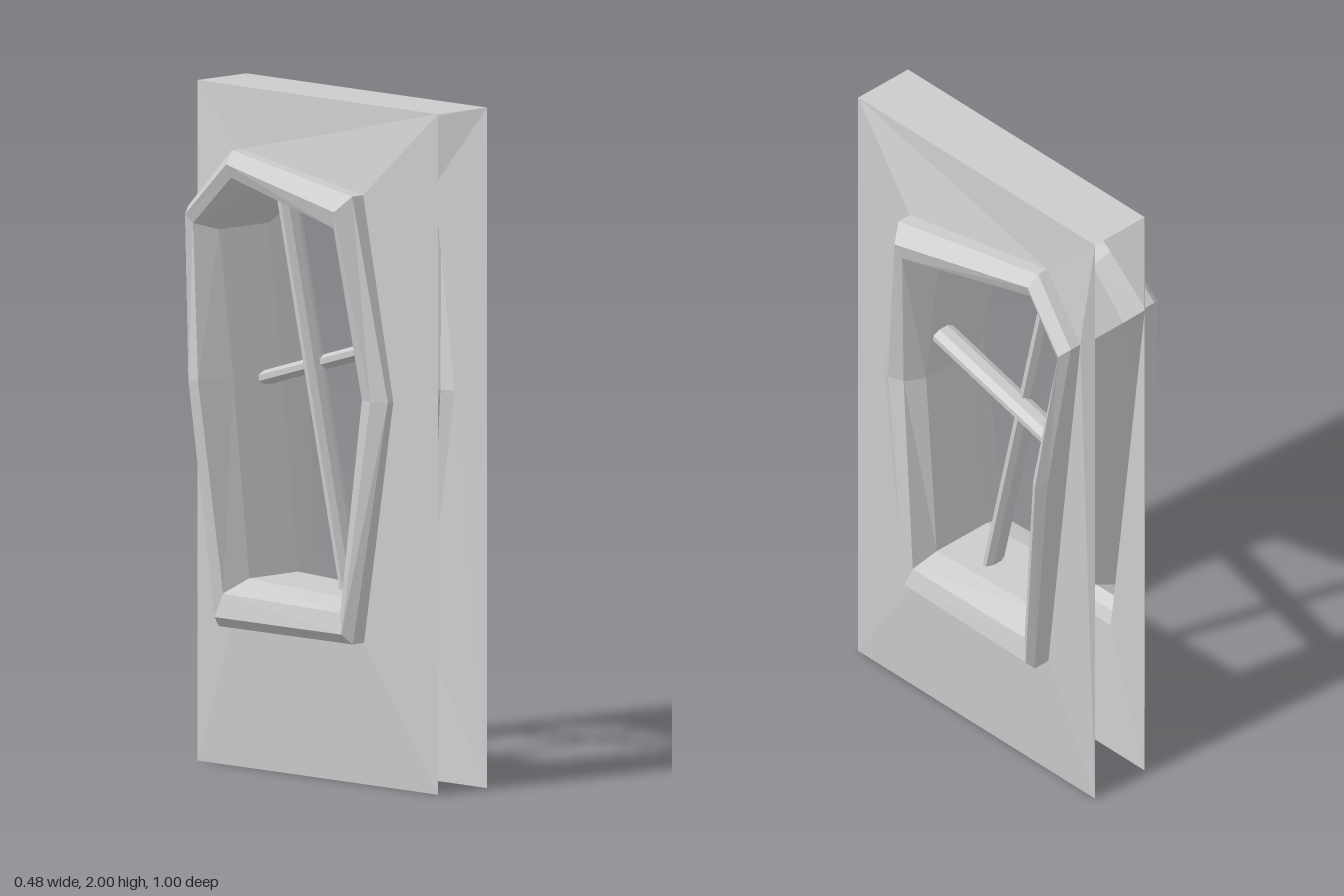
import * as THREE from 'three';

const material = new THREE.MeshStandardMaterial({ color: 0xcccccc, flatShading: true, side: THREE.DoubleSide });

// Crooked window outline, one row per corner, as z,y pairs and depths in x:
// outer [z, y], ridge [z, y], inner lip [z, y], opening [z, y], depths [wall, outer, ridge]
const corners = [
  { outer: [0.235, 1.74], ridge: [0.205, 1.695], lip: [0.188, 1.645], opening: [0.157, 1.61], depth: [0.145, 0.19, 0.235] },
  { outer: [-0.31, 1.817], ridge: [-0.3, 1.78], lip: [-0.295, 1.74], opening: [-0.28, 1.708], depth: [0.11, 0.147, 0.18] },
  { outer: [-0.47, 1.64], ridge: [-0.45, 1.62], lip: [-0.432, 1.595], opening: [-0.41, 1.57], depth: [0.13, 0.168, 0.2] },
  { outer: [-0.41, 1.14], ridge: [-0.395, 1.14], lip: [-0.37, 1.14], opening: [-0.352, 1.14], depth: [0.155, 0.205, 0.24] },
  { outer: [-0.33, 0.42], ridge: [-0.32, 0.45], lip: [-0.3, 0.52], opening: [-0.285, 0.557], depth: [0.125, 0.18, 0.207] },
  { outer: [0.218, 0.42], ridge: [0.2, 0.45], lip: [0.18, 0.51], opening: [0.168, 0.538], depth: [0.125, 0.17, 0.2] },
  { outer: [0.34, 1.14], ridge: [0.295, 1.14], lip: [0.245, 1.14], opening: [0.213, 1.14], depth: [0.125, 0.147, 0.175] },
];

function indexed(points, index) {
  const geometry = new THREE.BufferGeometry();
  geometry.setAttribute('position', new THREE.Float32BufferAttribute(points.flat(), 3));
  geometry.setIndex(index);
  geometry.computeVertexNormals();
  return geometry;
}

// Skin over a series of closed rings with equal point counts
function loft(rings) {
  const n = rings[0].length, index = [];
  for (let r = 0; r < rings.length - 1; r++) {
    for (let i = 0; i < n; i++) {
      const a = r * n + i, b = r * n + (i + 1) % n;
      index.push(a, b, a + n, b, b + n, a + n);
    }
  }
  return indexed(rings.flat(), index);
}

const ring = (key, depth) => corners.map((c) => [depth(c), c[key][1], c[key][0]]);
const openingRing = (x) => ring('opening', () => x);

// Bevelled moulding around one side of the window
function frameGeometry(side) {
  return loft([
    ring('outer', (c) => side * c.depth[0]),
    ring('outer', (c) => side * c.depth[1]),
    ring('ridge', (c) => side * c.depth[2]),
    ring('lip', (c) => side * (c.depth[2] - 0.015)),
    openingRing(side * 0.1),
  ]);
}

// Wall sheet that swells out from its straight border to the frame
function wallGeometry(side) {
  const border = [[0.5, 0], [0.5, 2], [-0.5, 2], [-0.5, 0]];
  const hole = corners.map((c) => c.outer);
  const toVectors = (list) => list.map((p) => new THREE.Vector2(p[0], p[1]));
  const faces = THREE.ShapeUtils.triangulateShape(toVectors(border), [toVectors(hole)]);
  const points = [
    ...border.map(([z, y]) => [side * 0.1, y, z]),
    ...ring('outer', (c) => side * c.depth[0]),
  ];
  return indexed(points, faces.flat());
}

// Flattened eight-sided bar between two points
function bar(name, from, to, halfWidth, halfThickness) {
  const a = new THREE.Vector3(...from), b = new THREE.Vector3(...to);
  const dir = b.clone().sub(a);
  const geometry = new THREE.CylinderGeometry(1, 1, dir.length(), 8, 1, false, Math.PI / 8);
  geometry.scale(halfWidth, 1, halfThickness);
  const mesh = new THREE.Mesh(geometry, material);
  const yAxis = dir.normalize();
  const zAxis = new THREE.Vector3(1, 0, 0).cross(yAxis).normalize();
  const xAxis = yAxis.clone().cross(zAxis);
  mesh.quaternion.setFromRotationMatrix(new THREE.Matrix4().makeBasis(xAxis, yAxis, zAxis));
  mesh.position.copy(a.add(b).multiplyScalar(0.5));
  mesh.name = name;
  return mesh;
}

export function createModel() {
  const model = new THREE.Group();
  model.name = 'crookedWindowWall';
  const add = (name, geometry) => {
    const mesh = new THREE.Mesh(geometry, material);
    mesh.name = name;
    model.add(mesh);
    return mesh;
  };

  // Both faces of the wall with their frames
  for (const [label, side] of [['left', 1], ['right', -1]]) {
    add(label + 'WallPanel', wallGeometry(side));
    add(label + 'WindowFrame', frameGeometry(side));
  }

  // Lining of the opening through the wall
  add('windowLining', loft([openingRing(-0.1), openingRing(0.1)]));

  // Flat top closing the wall
  const top = new THREE.PlaneGeometry(0.2, 1).rotateX(-Math.PI / 2);
  add('wallTop', top).position.y = 2;

  // Crossed glazing bars, poking slightly through the lining
  model.add(bar('uprightBar', [0.02, 0.5, 0.023], [-0.017, 1.73, -0.222], 0.04, 0.018));
  model.add(bar('crossBar', [0.05, 1.293, 0.215], [0.042, 1.123, -0.37], 0.042, 0.022));

  return model;
}
